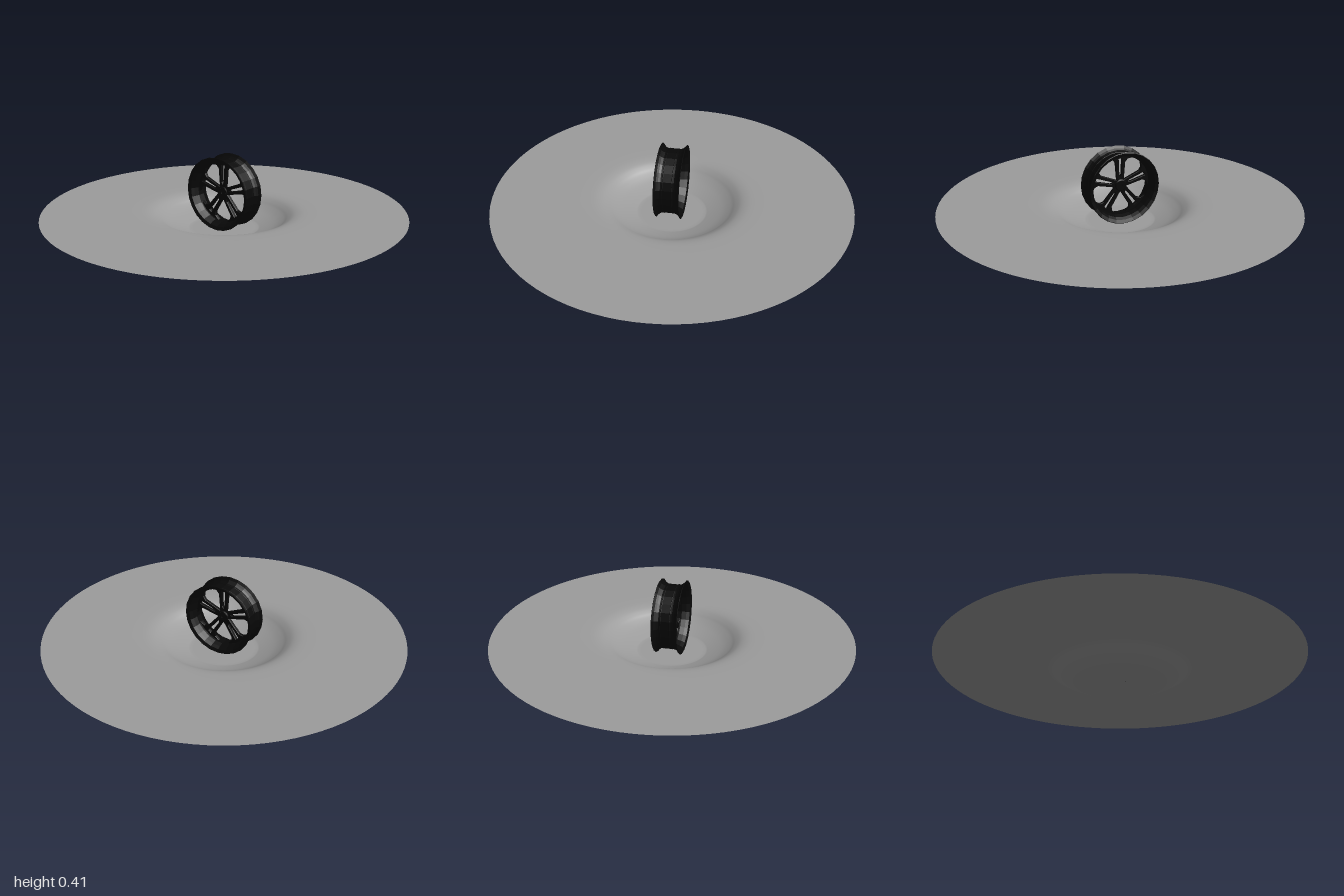
import * as THREE from 'three';

const RIM_SEGMENTS = 24;
const SPOKES = 5;
const WHEEL_Y = 0.205;
const FLOOR_Y = 0.001;

const v2 = (list) => list.map(([x, y]) => new THREE.Vector2(x, y));

// Flat round ground sheet with a shallow, soft-edged bowl in the middle
function createGround() {
  const slope = new THREE.SplineCurve(v2([
    [0.52, 0.104], [0.46, 0.1025], [0.42, 0.099], [0.385, 0.09], [0.355, 0.074], [0.33, 0.057],
    [0.29, 0.036], [0.24, 0.017], [0.19, FLOOR_Y],
  ])).getPoints(32);
  const profile = [...v2([[1, 0.104], [0.7, 0.104]]), ...slope, ...v2([[0.17, FLOOR_Y], [0, FLOOR_Y]])];
  const ground = new THREE.Mesh(
    new THREE.LatheGeometry(profile, 96),
    new THREE.MeshStandardMaterial({ color: 0x9c9c9c, side: THREE.DoubleSide }),
  );
  ground.name = 'groundDish';
  return ground;
}

// One forked spoke pointing up: two slim bars around a slot, flared at the rim
function spokeGeometry() {
  const right = [[0.018, 0.02], [0.021, 0.06], [0.027, 0.13], [0.042, 0.148], [0.078, 0.153]];
  const left = right.map(([x, y]) => [-x, y]).reverse();
  const shape = new THREE.Shape(v2([...right, [0.04, 0.167], [0, 0.172], [-0.04, 0.167], ...left]));
  shape.holes.push(new THREE.Path(v2([[0, 0.044], [-0.008, 0.058], [-0.012, 0.154], [0.012, 0.154], [0.008, 0.058]])));
  const geometry = new THREE.ExtrudeGeometry(shape, {
    depth: 0.014, bevelEnabled: true, bevelThickness: 0.003, bevelSize: 0.002, bevelSegments: 1,
  });
  return geometry.translate(0, 0, -0.005);
}

function createWheel() {
  const wheel = new THREE.Group();
  wheel.name = 'wheel';
  const black = new THREE.MeshStandardMaterial({ color: 0x080808, flatShading: true, side: THREE.DoubleSide });
  const add = (name, geometry) => {
    const mesh = new THREE.Mesh(geometry, black);
    mesh.name = name;
    wheel.add(mesh);
    return mesh;
  };

  // Hollow rim: closed cross-section with a raised lip on each edge
  const half = [[0.179, 0.036], [0.184, 0.048], [0.192, 0.058], [0.205, 0.068], [0.202, 0.07], [0.186, 0.062], [0.176, 0.045], [0.169, 0.02]];
  const lower = half.map(([r, y]) => [r, -y]).reverse();
  const section = v2([...lower, ...half, lower[0]]);
  add('rim', new THREE.LatheGeometry(section, RIM_SEGMENTS).rotateX(Math.PI / 2));

  // Thin steps around the barrel
  for (const z of [-0.025, 0.025]) {
    add('barrelStep', new THREE.TorusGeometry(0.178, 0.003, 4, RIM_SEGMENTS).translate(0, 0, z));
  }

  // Spokes and wheel bolts
  const spoke = spokeGeometry();
  for (let i = 0; i < SPOKES; i++) {
    const angle = (i / SPOKES) * Math.PI * 2;
    add('spoke', spoke).rotation.z = angle;
    const boltAngle = angle - Math.PI / 2;
    add('bolt', new THREE.CylinderGeometry(0.004, 0.004, 0.036, 6).rotateX(Math.PI / 2))
      .position.set(Math.cos(boltAngle) * 0.023, Math.sin(boltAngle) * 0.023, 0);
  }

  // Hub with a recessed centre
  const hub = v2([[0.01, -0.016], [0.029, -0.016], [0.034, -0.011], [0.034, 0.011], [0.029, 0.016], [0.01, 0.016], [0.01, -0.016]]);
  add('hub', new THREE.LatheGeometry(hub, 20).rotateX(Math.PI / 2));
  add('hubCap', new THREE.CylinderGeometry(0.011, 0.011, 0.024, 12).rotateX(Math.PI / 2));

  wheel.position.y = WHEEL_Y;
  return wheel;
}

export function createModel() {
  const model = new THREE.Group();
  model.name = 'wheelOnDish';
  model.add(createGround(), createWheel());
  return model;
}
